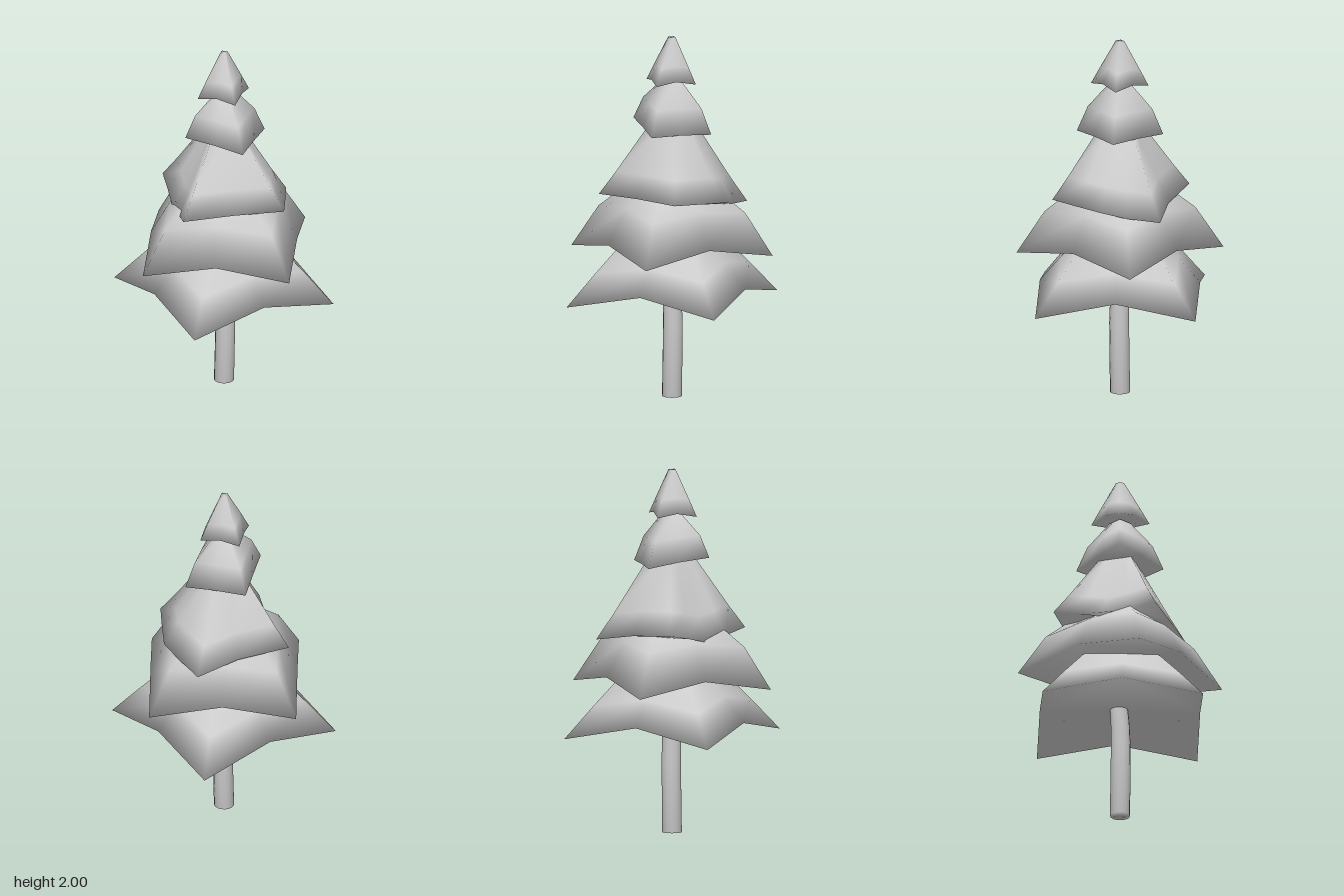
import * as THREE from 'three';

const material = new THREE.MeshStandardMaterial({ color: 0xcccccc });

// Corners of a drooping rim with a lifted midpoint on every edge.
function squareOutline(corners, lift) {
  return corners.flatMap(([x, y, z], i) => {
    const [nx, ny, nz] = corners[(i + 1) % corners.length];
    return [[x, y, z], [(x + nx) / 2, (y + ny) / 2 + lift, (z + nz) / 2]];
  });
}

// Corners of a regular square, starting from the given one.
function squareCorners(x, y, z) {
  return [[x, y, z], [-z, y, x], [-x, y, -z], [z, y, -x]];
}

// Skirt of branches: rings are [scale, height, how much of the rim's waviness stays].
// Even outline points are corners, odd ones lie between them.
function skirt(name, outline, base, rings) {
  const n = outline.length;
  const all = [[1, base, 1], ...rings];
  const positions = [], index = [];
  for (const [s, h, keep] of all) {
    for (const [x, y, z] of outline) positions.push(x * s, h + (y - base) * keep, z * s);
  }
  for (let k = 0; k < rings.length; k++) {
    for (let i = 0; i < n; i++) {
      const a = k * n + i, b = k * n + (i + 1) % n;
      index.push(a, a + n, b, b, a + n, b + n);
    }
  }
  // Small cap closing the top ring
  const last = rings.length * n;
  positions.push(0, rings[rings.length - 1][1], 0);
  for (let i = 0; i < n; i++) index.push(last + n, last + (i + 1) % n, last + i);

  // Underside: corner flaps around a flat middle
  for (let i = 0; i < n; i += 2) index.push((i + n - 1) % n, i, i + 1);
  for (let i = 3; i < n - 1; i += 2) index.push(1, i, i + 2);

  const geometry = new THREE.BufferGeometry();
  geometry.setAttribute('position', new THREE.Float32BufferAttribute(positions, 3));
  geometry.setIndex(index);
  geometry.computeVertexNormals();

  // Soft rim: its normals roll outward and under, shared by both sides
  const normal = new THREE.Vector3();
  outline.forEach(([x, , z], i) => {
    normal.set(x, -0.6 * Math.hypot(x, z), z).normalize();
    geometry.attributes.normal.setXYZ(i, normal.x, normal.y, normal.z);
  });

  const mesh = new THREE.Mesh(geometry, material);
  mesh.name = name;
  return mesh;
}

export function createModel() {
  const tree = new THREE.Group();
  tree.name = 'tree';

  // Trunk with a soft foot, bending slightly near its top
  const profile = [[0, 0], [0.055, 0], [0.054, 0.4], [0.052, 0.53], [0.05, 0.6], [0.048, 0.66]];
  const trunkGeometry = new THREE.LatheGeometry(profile.map(([r, y]) => new THREE.Vector2(r, y)), 14);
  const p = trunkGeometry.attributes.position;
  for (let i = 0; i < p.count; i++) {
    const t = p.getY(i) / 0.66;
    const lean = 0.012 * t - 0.025 * t ** 6;
    p.setX(i, p.getX(i) + lean);
    p.setZ(i, p.getZ(i) - lean);
  }
  const trunk = new THREE.Mesh(trunkGeometry, material);
  trunk.name = 'trunk';
  tree.add(trunk);

  // Two wide lower skirts
  tree.add(skirt('bottomSkirt', squareOutline(squareCorners(0.53, 0.54, -0.32), 0.09), 0.54,
    [[0.73, 0.715, 0.6], [0.48, 0.87, 0.1], [0.25, 0.98, 0]]));
  tree.add(skirt('lowerSkirt', squareOutline(squareCorners(0.565, 0.81, 0.05), 0.07), 0.81,
    [[0.73, 1.04, 0.5], [0.55, 1.12, 0.1], [0.25, 1.22, 0]]));

  // Uneven middle skirt with a ragged rim
  const ragged = [
    [0.39, 1.14, -0.08], [0.235, 1.14, 0.155], [0.085, 1.13, 0.39], [-0.03, 1.1, 0.31],
    [-0.16, 1.075, 0.235], [-0.28, 1.11, 0.155], [-0.4, 1.14, 0.08], [-0.24, 1.11, -0.16],
    [-0.15, 1.07, -0.39], [0.03, 1.09, -0.345], [0.16, 1.12, -0.315], [0.275, 1.13, -0.2],
  ];
  tree.add(skirt('middleSkirt', ragged, 1.14, [[0.77, 1.26, 0.7], [0.32, 1.51, 0]]));

  // Small skirts at the top
  const upper = [[0.225, 1.48, 0.075], [-0.07, 1.53, 0.225], [-0.225, 1.48, -0.08], [0.08, 1.48, -0.23]];
  tree.add(skirt('upperSkirt', squareOutline(upper, 0.005), 1.48,
    [[0.75, 1.62, 0.6], [0.24, 1.76, 0]]));
  const tip = [[0.15, 1.75, 0.06], [-0.05, 1.75, 0.15], [-0.15, 1.75, -0.045], [0.05, 1.75, -0.14]];
  tree.add(skirt('topSkirt', squareOutline(tip, 0.02), 1.75,
    [[0.7, 1.84, 0.6], [0.15, 2, 0]]));

  return tree;
}
